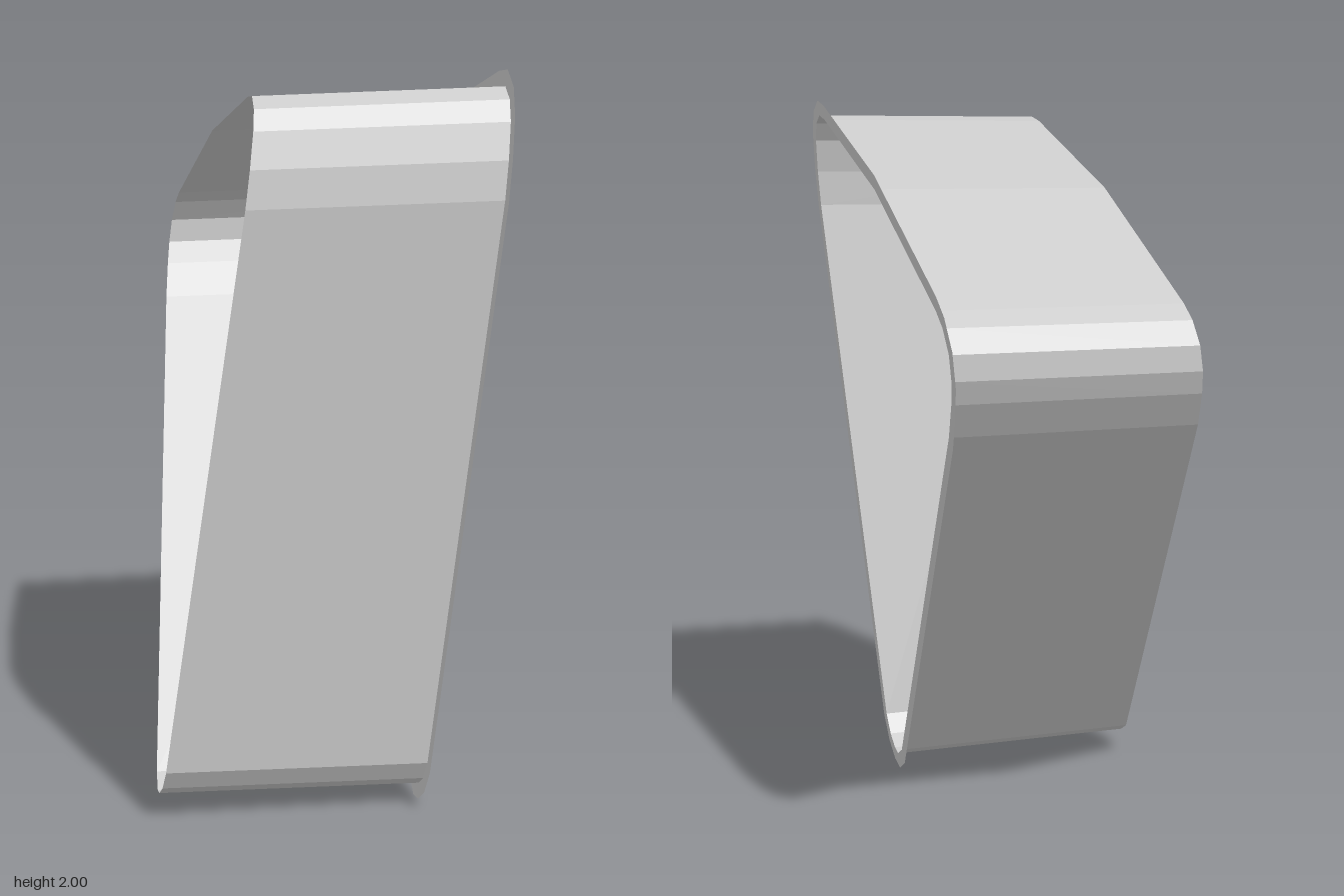
import * as THREE from 'three';

// Outer outline of the rim as [z, y], from the top over the back, bottom and front
const OUTLINE = [
  [0.655, 2.0], [0.565, 1.99], [-0.07, 1.84],
  [-0.695, 1.587], [-0.764, 1.544], [-0.818, 1.465], [-0.818, 1.375], [-0.785, 1.3], [-0.716, 1.2],
  [0.37, 0.04], [0.454, 0.0], [0.517, 0.01], [0.58, 0.05], [0.623, 0.12],
  [0.82, 1.68], [0.813, 1.788], [0.787, 1.894], [0.739, 1.963],
];
const RIM_WIDTH = 0.042;
const TAPER = 0.984;

// Mitred inward offset of a closed outline
function inset(loop, d) {
  const pts = loop.map(([z, y]) => new THREE.Vector2(z, y));
  const n = pts.length;
  const normal = (a, b) => new THREE.Vector2(a.y - b.y, b.x - a.x).normalize();
  return pts.map((p, i) => {
    const n1 = normal(pts[(i + n - 1) % n], p);
    const n2 = normal(p, pts[(i + 1) % n]);
    const m = n1.clone().add(n2).normalize();
    const q = p.clone().addScaledVector(m, d / m.dot(n1));
    return [q.x, q.y];
  });
}

// Slanted planes that cut the two open ends of the band
const rimPlane = (z, y) => 0.278 + 0.0935 * y - 0.0387 * z;
const farPlane = (z, y) => -0.4386 + 0.1272 * y - 0.0396 * z;
const place = (loop, plane) => loop.map(([z, y]) => [plane(z, y), y, z]);

// Closed strip of faces between two rings
function strip(name, a, b) {
  const n = a.length;
  const index = [];
  for (let i = 0; i < n; i++) {
    const j = (i + 1) % n;
    index.push(i, j, n + j, i, n + j, n + i);
  }
  const g = new THREE.BufferGeometry();
  g.setAttribute('position', new THREE.Float32BufferAttribute([...a, ...b].flat(), 3));
  g.setIndex(index);
  const geometry = g.toNonIndexed();
  geometry.computeVertexNormals();
  const mesh = new THREE.Mesh(geometry, new THREE.MeshStandardMaterial({
    color: 0xcccccc, flatShading: true, side: THREE.DoubleSide,
  }));
  mesh.name = name;
  return mesh;
}

export function createModel() {
  const inner = inset(OUTLINE, RIM_WIDTH);
  const far = inner.map(([z, y]) => [z * TAPER, 1 + (y - 1) * TAPER]);

  const rimOuter = place(OUTLINE, rimPlane);
  const rimInner = place(inner, rimPlane);
  const farEnd = place(far, farPlane);

  const group = new THREE.Group();
  group.name = 'triangularBand';
  group.add(
    strip('bandWall', rimInner, farEnd), // slightly tapering thin wall
    strip('rimFlange', rimInner, rimOuter), // flat lip around the left opening
  );
  return group;
}
